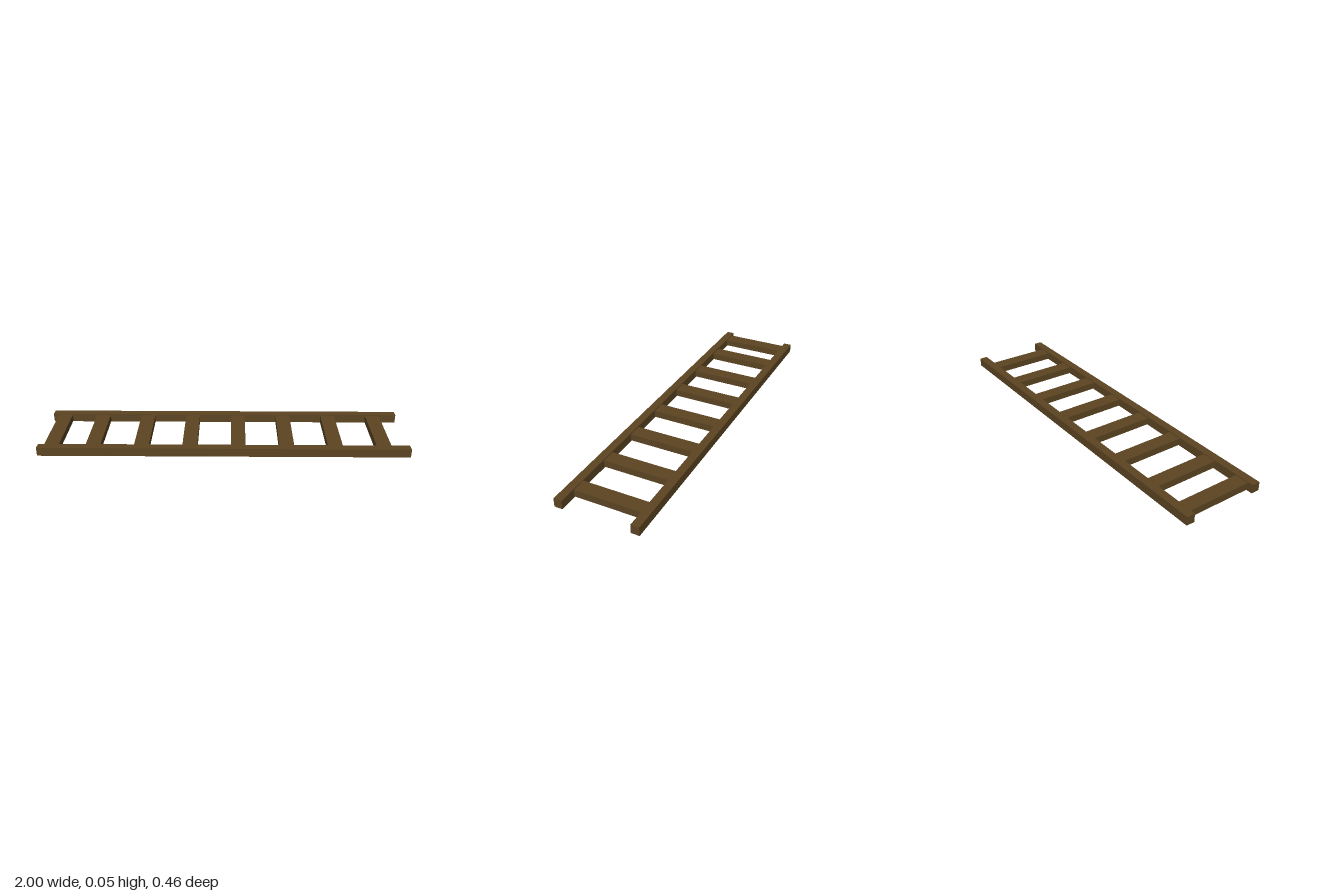
import * as THREE from 'three';

export function createModel() {
  const model = new THREE.Group();
  model.name = 'ladder';
  const wood = new THREE.MeshStandardMaterial({ color: 0x5c4422 });
  wood.name = 'dark brown wood';

  const railHeight = 0.048, railDepth = 0.045, railZ = 0.205;
  const rungWidth = 0.08, rungHeight = 0.038;

  function addBeam(name, size, position) {
    const beam = new THREE.Mesh(new THREE.BoxGeometry(...size), wood);
    beam.name = name;
    beam.position.set(...position);
    model.add(beam);
  }

  // Two long side rails lying flat on the ground
  for (const side of [-1, 1]) {
    addBeam(side > 0 ? 'frontRail' : 'backRail',
      [2, railHeight, railDepth], [0, railHeight / 2, side * railZ]);
  }

  // Flat rungs: the end one sits closer, the other seven are evenly spaced
  const rungLength = 2 * railZ - railDepth + 0.01; // ends sunk slightly into the rails
  for (let i = 0; i < 8; i++) {
    const x = i === 0 ? -0.929 : -0.705 + (i - 1) * 0.2613;
    addBeam(`rung${i + 1}`, [rungWidth, rungHeight, rungLength], [x, railHeight / 2, 0]);
  }

  return model;
}
